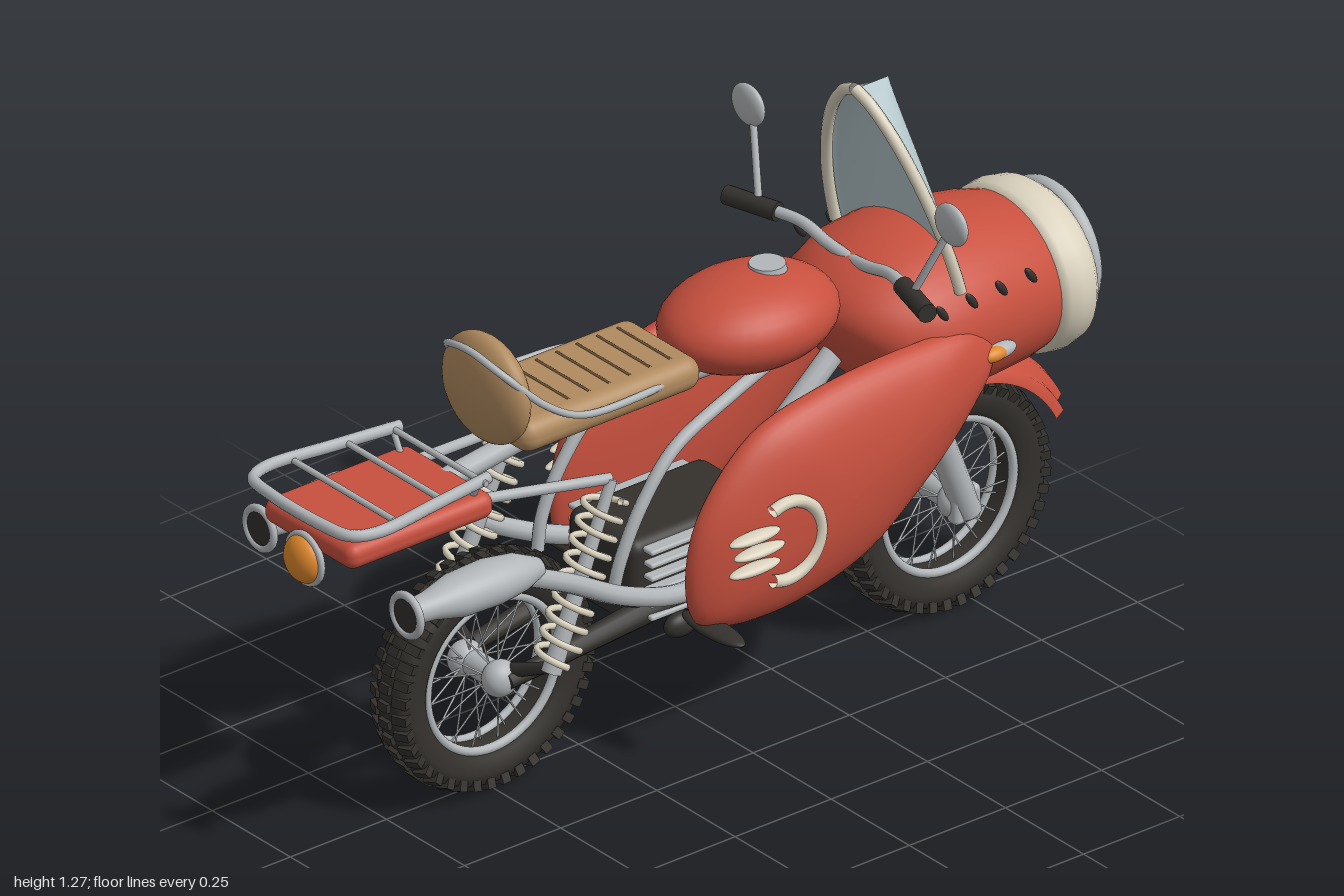
import * as THREE from 'three';
import { mergeGeometries } from 'three/addons/utils/BufferGeometryUtils.js';
import { RoundedBoxGeometry } from 'three/addons/geometries/RoundedBoxGeometry.js';

const mat = (color) => new THREE.MeshStandardMaterial({ color, side: THREE.DoubleSide });
const RED = mat(0xc8503e), CHROME = mat(0xb2b6b9), CREAM = mat(0xdad2be), TAN = mat(0xb08a5e);
const DARK = mat(0x34312d), GLASS = mat(0xb4c6ca), ORANGE = mat(0xe0892c), SEAM = mat(0x6a5236);
const V = (p) => new THREE.Vector3(...p);

// Skin over rows of points; closed joins each row's end to its start
function skin(rows, closed) {
  const n = rows[0].length, idx = [];
  for (let i = 0; i < rows.length - 1; i++)
    for (let j = 0; j < (closed ? n : n - 1); j++) {
      const a = i * n + j, b = i * n + (j + 1) % n;
      idx.push(a, b, a + n, b, b + n, a + n);
    }
  const g = new THREE.BufferGeometry();
  g.setAttribute('position', new THREE.Float32BufferAttribute(rows.flat(2), 3));
  g.setIndex(idx);
  g.computeVertexNormals();
  return g;
}
// Elliptical sections along z: [z, centre y, x radius, y radius]
const loft = (secs, cx = 0, n = 40) => skin(secs.map(([z, cy, rx, ry]) =>
  Array.from({ length: n }, (_, i) => {
    const a = i / n * Math.PI * 2;
    return [cx + rx * Math.cos(a), cy + ry * Math.sin(a), z];
  })), true);
const curve = (pts) => new THREE.CatmullRomCurve3(pts.map(V));
const tubeGeo = (pts, r, seg = 40) => new THREE.TubeGeometry(curve(pts), seg, r, 10);
// Straight tapered rod between two points
function rodGeo(a, b, r1, r2 = r1, n = 12) {
  const A = V(a), d = V(b).sub(A);
  const g = new THREE.CylinderGeometry(r2, r1, d.length(), n);
  g.applyQuaternion(new THREE.Quaternion().setFromUnitVectors(V([0, 1, 0]), d.clone().normalize()));
  const m = A.addScaledVector(d, 0.5);
  return g.translate(m.x, m.y, m.z);
}
const ball = (c, r) => new THREE.SphereGeometry(1, 32, 20).scale(...r).translate(...c);
const box = (c, s, r) => new RoundedBoxGeometry(...s, 4, r).translate(...c);

export function createModel() {
  const root = new THREE.Group();
  const add = (name, geo, material, parent = root) => {
    const m = new THREE.Mesh(geo, material);
    m.name = name;
    parent.add(m);
    return m;
  };

  // Wheels, built around z and turned so the axle lies along x
  function wheel(name, z) {
    const g = new THREE.Group();
    g.name = name;
    const prof = [[.17, -.03], [.185, -.043], [.215, -.05], [.24, -.046], [.251, -.028], [.253, 0],
      [.251, .028], [.24, .046], [.215, .05], [.185, .043], [.17, .03], [.17, -.03]];
    add('tyre', new THREE.LatheGeometry(prof.map(p => new THREE.Vector2(...p)), 64).rotateX(Math.PI / 2), DARK, g);
    const blocks = [], spokes = [], N = 40;
    for (let i = 0; i < N; i++)
      for (const k of [-1, 0, 1]) {
        const b = new THREE.BoxGeometry(.02, .022, k ? .034 : .03);
        if (k) b.rotateX(k * .35);
        b.translate(0, k ? .243 : .251, k * .037);
        blocks.push(b.rotateZ((i + (k ? .5 : 0)) / N * Math.PI * 2));
      }
    for (let i = 0; i < 32; i++) {
      const a = i / 32 * Math.PI * 2, t = a + (i % 4 < 2 ? .22 : -.22), s = i % 2 ? 1 : -1;
      spokes.push(rodGeo([.03 * Math.cos(t), .03 * Math.sin(t), s * .035],
        [.168 * Math.cos(a), .168 * Math.sin(a), s * .008], .0022, .0022, 5));
    }
    add('tread', mergeGeometries(blocks), DARK, g);
    add('spokes', mergeGeometries(spokes), CHROME, g);
    for (const s of [1, -1]) {
      add('rim', new THREE.TorusGeometry(.17, .01, 10, 56).translate(0, 0, s * .03), CHROME, g);
      add('hubCap', ball([0, 0, s * .055], [.04, .04, .035]), CHROME, g);
    }
    add('axle', new THREE.CylinderGeometry(.028, .028, .12, 20).rotateX(Math.PI / 2), CHROME, g);
    g.rotation.y = Math.PI / 2;
    g.position.set(0, .262, z);
    root.add(g);
  }
  wheel('rearWheel', .5);
  wheel('frontWheel', -.685);

  // Front fender: ridged section swept round the wheel
  const fsec = [[-.085, .265], [-.08, .29], [-.05, .298], [-.042, .318], [-.02, .325],
    [.02, .325], [.042, .318], [.05, .298], [.08, .29], [.085, .265]];
  add('frontFender', skin(Array.from({ length: 31 }, (_, i) => {
    const a = (26 + i * 3.6) * Math.PI / 180;
    return fsec.map(([x, r]) => [x, .262 + r * Math.sin(a), -.685 - r * Math.cos(a)]);
  })), RED);

  // Nacelle, headlight
  add('nacelle', loft([[-.36, .78, .001, .001], [-.37, .775, .08, .04], [-.4, .765, .15, .085], [-.45, .745, .2, .135],
    [-.52, .735, .232, .172], [-.6, .73, .236, .188], [-.7, .722, .222, .19], [-.8, .715, .205, .18], [-.87, .71, .185, .165]]), RED);
  add('headlightShroud', loft([[-.85, .71, .17, .15], [-.852, .71, .19, .168], [-.868, .71, .204, .179], [-.9, .71, .209, .183],
    [-.935, .71, .2, .177], [-.955, .71, .18, .162], [-.965, .71, .14, .13]]), CREAM);
  add('headlightRing', new THREE.TorusGeometry(.135, .02, 14, 48).translate(0, .72, -.975), CHROME);
  add('headlightLens', ball([0, .72, -.96], [.13, .13, .03]), CREAM);

  // Windscreen: shell bulging forward of a pointed arch
  const w = (t) => .2 * Math.pow(Math.max(0, 1 - Math.pow(t, 1.8)), .65);
  const rimZ = (t) => -.58 + .112 * t;
  add('windscreen', skin(Array.from({ length: 25 }, (_, i) => {
    const t = i / 24, zc = -.62 + .065 * t;
    return Array.from({ length: 25 }, (_, j) => {
      const a = (j / 24 - .5) * Math.PI;
      return [w(t) * Math.sin(a), .84 + .42 * t, rimZ(t) + (zc - rimZ(t)) * Math.cos(a)];
    });
  })), GLASS);

  // Tank, seat, luggage rack
  add('fuelTank', ball([0, .835, -.19], [.155, .1, .205]), RED);
  add('fuelCap', new THREE.CylinderGeometry(.038, .042, .02, 28).translate(0, .93, -.24), CHROME);
  add('seat', box([0, .826, .255], [.25, .075, .47], .035), TAN);
  for (let i = 0; i < 7; i++)
    add('seatSeam', tubeGeo([[-.085, .862, .08 + i * .053], [.085, .862, .08 + i * .053]], .004, 2), SEAM);
  add('backrest', ball([0, .905, .49], [.13, .12, .05]), TAN);
  add('seatRail', tubeGeo([[-.1, .83, .06], [-.13, .838, .2], [-.134, .85, .35], [-.13, .9, .44], [-.09, .98, .52], [0, 1.005, .535],
    [.09, .98, .52], [.13, .9, .44], [.134, .85, .35], [.13, .838, .2], [.1, .83, .06]], .008, 90), CHROME);
  add('rackLoop', tubeGeo([[-.14, .795, .6], [-.16, .795, .75], [-.178, .795, .92], [-.155, .795, .97], [-.08, .795, .985],
    [.08, .795, .985], [.155, .795, .97], [.178, .795, .92], [.16, .795, .75], [.14, .795, .6]], .013, 90), CHROME);
  for (const z of [.62, .73, .86])
    add('rackBar', rodGeo([-.16, .795, z], [.16, .795, z], .007), CHROME);
  add('rearCase', box([0, .725, .77], [.29, .058, .38], .025), RED);
  add('tailLight', ball([0, .675, .965], [.052, .052, .034]), ORANGE);
  add('tailLightRing', new THREE.TorusGeometry(.053, .008, 10, 36).translate(0, .675, .962), CHROME);
  add('rearSpine', tubeGeo([[0, .76, -.1], [0, .765, .3], [0, .73, .6]], .025), CHROME);

  // Engine with cooling fins
  add('engineBlock', box([0, .385, .02], [.22, .2, .36], .03), DARK);
  for (let i = 0; i < 6; i++)
    add('engineFin', box([0, .315 + i * .03, .02], [.27, .012, .3], .005), CHROME);
  add('frameDownTube', rodGeo([0, .42, -.12], [0, .68, -.42], .025), CHROME);

  // Outline of a leg shield, as [z, y]
  const outline = curve([[.145, .4], [.12, .55], [-.02, .705], [-.2, .755], [-.45, .77], [-.6, .755], [-.65, .69],
    [-.58, .575], [-.45, .45], [-.3, .345], [-.1, .292], [.05, .297], [.12, .325]].map(([z, y]) => [0, y, z]));
  outline.closed = true;
  const edge = outline.getPoints(64).slice(0, 64);

  // Paired parts
  for (const s of [1, -1]) {
    const side = new THREE.Group();
    side.name = s > 0 ? 'leftSide' : 'rightSide';
    root.add(side);
    const put = (name, geo, m) => add(name, geo, m, side);
    const P = (pts) => pts.map(([x, y, z]) => [s * x, y, z]);
    const rod = (name, a, b, r1, r2, m) => put(name, rodGeo(...P([a, b]), r1, r2), m);

    // Leg shield: lens bulging further outward than inward
    const rows = [];
    for (let i = 0; i <= 28; i++) {
      const a = i / 28 * Math.PI, k = Math.sin(a), h = Math.cos(a);
      rows.push(edge.map(p => [s * (.215 + (h > 0 ? .09 : .055) * h), .53 + (p.y - .53) * k, -.22 + (p.z + .22) * k]));
    }
    put('legShield', skin(rows, true), RED);

    // Vent trim on the shield
    const arc = Array.from({ length: 13 }, (_, i) => {
      const a = (-115 + i * 19.2) * Math.PI / 180;
      return [s * .297, .49 + .088 * Math.sin(a), -.05 - .088 * Math.cos(a)];
    });
    put('ventTrimArc', tubeGeo(arc, .014), CREAM);
    for (let i = -1; i < 2; i++)
      put('ventTrimBar', ball([s * .295, .49 + i * .036, .02 + Math.abs(i) * .012], [.02, .012, .065]), CREAM);

    put('windscreenRim', tubeGeo(P(Array.from({ length: 25 }, (_, i) => {
      const t = i / 24;
      return [w(t), .84 + .42 * t, rimZ(t)];
    })), .013, 60), CREAM);

    // Louvres and turn signal
    for (let i = 0; i < 4; i++)
      put('louvre', new THREE.SphereGeometry(1, 14, 10).scale(.008, .024, .009).rotateX(.6)
        .translate(s * (.228 - i * .004), .825, -.51 - i * .08), DARK);
    put('signalBase', ball([s * .228, .69, -.65], [.022, .018, .05]), CHROME);
    put('signalLamp', ball([s * .238, .692, -.635], [.018, .016, .032]), ORANGE);

    // Fork, handlebar, mirror
    rod('fork', [.08, .56, -.575], [.075, .24, -.7], .03, .03, CHROME);
    put('forkEnd', box([s * .075, .262, -.69], [.035, .08, .07], .012), CHROME);
    put('handlebar', tubeGeo(P([[0, .87, -.46], [.07, .885, -.45], [.14, .902, -.445], [.22, .905, -.425]]), .013), CHROME);
    rod('grip', [.2, .905, -.43], [.322, .905, -.395], .021, .021, DARK);
    rod('mirrorStem', [.25, .92, -.42], [.31, 1.06, -.455], .008, .008, CHROME);
    put('mirror', ball([s * .325, 1.09, -.455], [.05, .046, .017]), CHROME);

    // Frame tube and exhaust
    put('frameTube', tubeGeo(P([[.12, .4, .26], [.125, .47, .245], [.125, .58, .19], [.12, .68, .1], [.1, .74, -.07], [.06, .75, -.2]]), .014), CHROME);
    put('exhaustPipe', tubeGeo(P([[.13, .36, -.05], [.16, .37, .12], [.185, .43, .28], [.21, .53, .45], [.235, .61, .6]]), .021), CHROME);
    put('muffler', loft([[.54, .612, .001, .001], [.545, .612, .022, .02], [.6, .618, .045, .04], [.67, .62, .056, .048],
      [.76, .62, .052, .046], [.83, .62, .034, .03], [.885, .62, .026, .026]], s * .235), CHROME);
    put('mufflerTip', new THREE.TorusGeometry(.044, .009, 10, 36).translate(s * .235, .618, .888), CHROME);
    put('mufflerOpening', new THREE.CylinderGeometry(.042, .042, .012, 30).rotateX(Math.PI / 2).translate(s * .235, .618, .886), DARK);

    // Shock absorber with coil spring
    const top = V([s * .155, .69, .29]), low = V([s * .17, .31, .46]);
    const len = top.distanceTo(low);
    const coil = Array.from({ length: 163 }, (_, i) => {
      const a = i / 18 * Math.PI * 2;
      return [.042 * Math.cos(a), len * (.06 + .86 * i / 162), .042 * Math.sin(a)];
    });
    const shock = new THREE.Group();
    shock.name = 'shockAbsorber';
    shock.position.copy(low);
    shock.quaternion.setFromUnitVectors(V([0, 1, 0]), top.clone().sub(low).normalize());
    side.add(shock);
    add('spring', new THREE.TubeGeometry(curve(coil), 260, .0075, 7), CREAM, shock);
    add('shockRod', rodGeo([0, 0, 0], [0, len, 0], .022, .012), CHROME, shock);
    rod('shockMount', [.17, .32, .455], [.07, .28, .48], .012, .016, DARK);

    // Swingarm, footpeg, rack supports
    rod('swingarm', [.08, .265, .5], [.1, .33, .06], .018, .032, DARK);
    put('pivotCap', ball([s * .14, .285, .1], [.022, .028, .04]), DARK);
    put('footpeg', ball([s * .235, .31, .09], [.095, .014, .03]), DARK);
    rod('rackStay', [.1, .72, .62], [.14, .795, .62], .007, .007, CHROME);
    rod('rearStay', [.15, .69, .29], [.1, .73, .62], .012, .012, CHROME);
  }
  return root;
}
